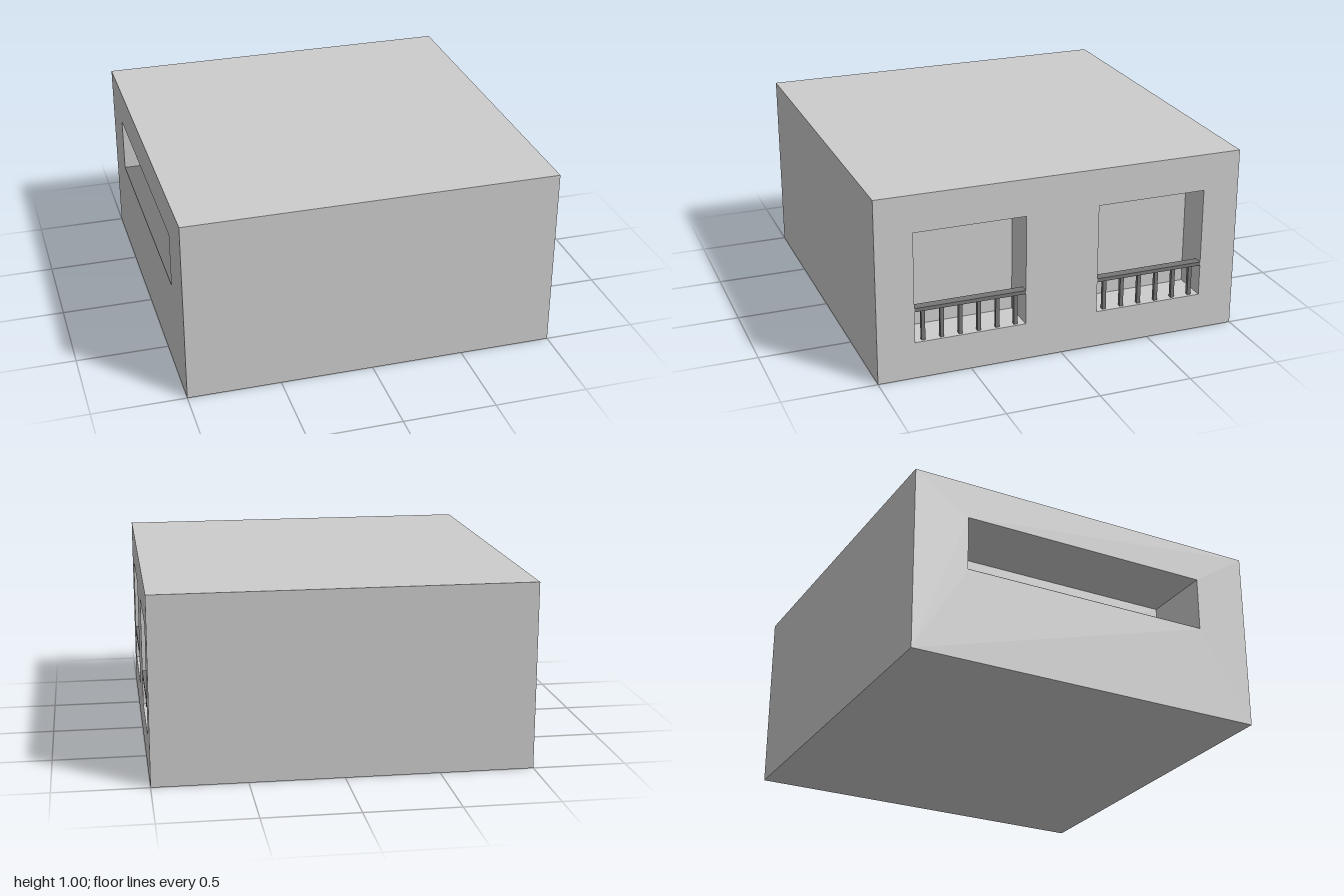
import * as THREE from 'three';
import { mergeGeometries } from 'three/addons/utils/BufferGeometryUtils.js';

const wallMat = new THREE.MeshStandardMaterial({ color: 0xcccccc });
wallMat.name = 'light grey wall';
const trimMat = new THREE.MeshStandardMaterial({ color: 0x767676 });
trimMat.name = 'dark grey trim';

function add(parent, name, geometry, material) {
  const mesh = new THREE.Mesh(geometry, material);
  mesh.name = name;
  parent.add(mesh);
  return mesh;
}

function box(parent, name, size, pos, material) {
  add(parent, name, new THREE.BoxGeometry(...size), material).position.set(...pos);
}

// Flat side wall with rectangular openings given as [u0, y0, u1, y1]
function sideWall(openings) {
  const rect = (T, [a, b, c, d]) =>
    new T([[a, b], [c, b], [c, d], [a, d]].map(p => new THREE.Vector2(...p)));
  const shape = rect(THREE.Shape, [-1, 0, 1, 1]);
  openings.forEach(o => shape.holes.push(rect(THREE.Path, o)));
  return new THREE.ShapeGeometry(shape);
}

// Inside faces of a recess: an open anticlockwise x-y profile swept from z0 to z1, with end walls
function recess(profile, z0, z1) {
  const pos = [];
  for (let i = 0; i < profile.length - 1; i++) {
    const [a, b] = [profile[i], profile[i + 1]];
    const q = [[...a, z0], [...a, z1], [...b, z1], [...b, z0]];
    [0, 1, 2, 0, 2, 3].forEach(k => pos.push(...q[k]));
  }
  const strip = new THREE.BufferGeometry();
  strip.setAttribute('position', new THREE.Float32BufferAttribute(pos, 3));

  const shape = new THREE.Shape(profile.map(p => new THREE.Vector2(...p)));
  const ends = [z0, z1].map((z, i) => {
    const end = new THREE.ShapeGeometry(shape).translate(0, 0, z);
    if (i === 1) end.index.array.reverse();
    const flat = end.toNonIndexed();
    flat.deleteAttribute('uv');
    flat.deleteAttribute('normal');
    return flat;
  });
  const merged = mergeGeometries([strip, ...ends]);
  merged.computeVertexNormals();
  return merged;
}

export function createModel() {
  const model = new THREE.Group();
  model.name = 'building';
  const H = Math.PI / 2;

  // Outer shell
  add(model, 'frontWall', new THREE.PlaneGeometry(2, 1).translate(0, 0.5, 1), wallMat);
  add(model, 'backWall', new THREE.PlaneGeometry(2, 1).rotateY(Math.PI).translate(0, 0.5, -1), wallMat);
  add(model, 'roof', new THREE.PlaneGeometry(2, 2).rotateX(-H).translate(0, 1, 0), wallMat);
  add(model, 'base', new THREE.PlaneGeometry(2, 2).rotateX(H), wallMat);
  add(model, 'balconyWall',
    sideWall([[-0.8, 0.2, -0.2, 0.8], [0.2, 0.2, 0.8, 0.8]]).rotateY(H).translate(1, 0, 0), wallMat);
  add(model, 'counterWall',
    sideWall([[-0.7, 0.5, 0.7, 0.8]]).rotateY(-H).translate(-1, 0, 0), wallMat);

  // Two balconies, each with a railing
  const balconyProfile = [[1, 0.8], [0.8, 0.8], [0.8, 0.2], [1, 0.2]];
  for (const zc of [0.5, -0.5]) {
    const balcony = new THREE.Group();
    balcony.name = zc > 0 ? 'frontBalcony' : 'backBalcony';
    model.add(balcony);
    add(balcony, 'balconyRecess', recess(balconyProfile, zc - 0.3, zc + 0.3), wallMat);
    box(balcony, 'handrail', [0.05, 0.02, 0.6], [0.975, 0.38, zc], trimMat);
    for (let i = 0; i < 6; i++) {
      box(balcony, 'baluster', [0.02, 0.17, 0.02], [0.975, 0.285, zc - 0.25 + i * 0.1], trimMat);
    }
  }

  // Long serving window: a parapet with a dark counter top, and a lower floor behind it
  const counterProfile = [[-1, 0.5], [-0.8, 0.5], [-0.8, 0.2], [-0.6, 0.2], [-0.6, 0.8], [-1, 0.8]];
  add(model, 'counterRecess', recess(counterProfile, -0.7, 0.7), wallMat);
  box(model, 'counterTop', [0.2, 0.004, 1.4], [-0.9, 0.502, 0], trimMat);

  return model;
}
